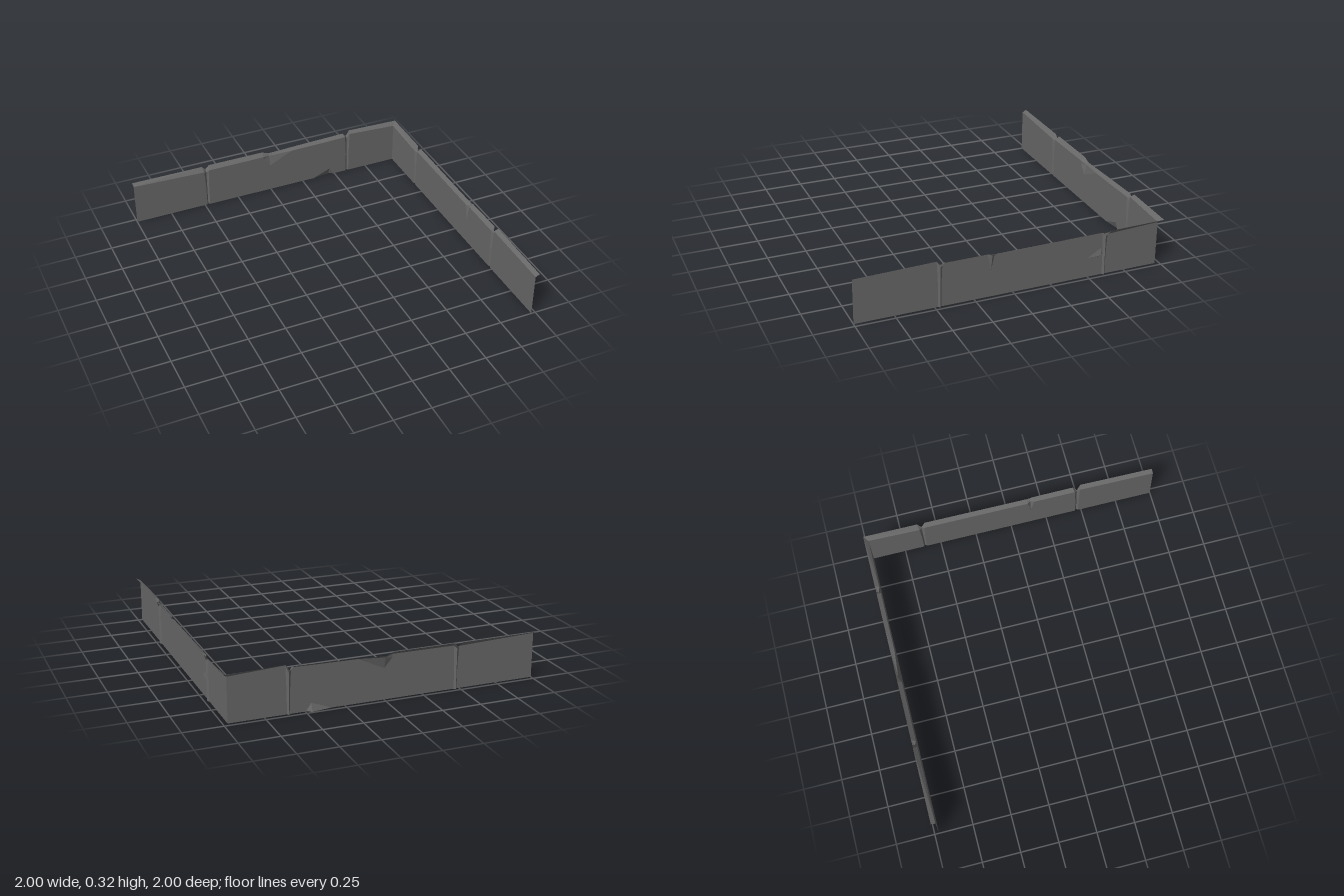
import * as THREE from 'three';

const concrete = new THREE.MeshStandardMaterial({ color: 0x676767, side: THREE.DoubleSide, flatShading: true });
concrete.name = 'dark grey concrete';

const FACE = 0.972;  // distance of the inner wall face from the centre
const FLARE = 0.028; // how far the top lip leans outward

// One column of the sheet: [along, height, outward depth] from the ground to the lip.
function column(s, baseY, topY, o = {}) {
  return [
    [s, 0, o.footD ?? 0],
    [s, o.midY ?? 0.15, o.midD ?? 0],
    [s, baseY, o.baseD ?? 0],
    [o.topS ?? s, topY, o.topD ?? FLARE],
  ];
}

// Joint between two slabs: a narrow groove that opens into a V at the lip.
function joint(s, left, right, lipDepth) {
  const side = (sign, [baseY, topY]) => [
    [s + sign * 0.01, 0, 0],
    [s + sign * 0.011, 0.15, 0],
    [s + sign * 0.018, baseY, 0],
    [s + sign * 0.026, topY, FLARE],
  ];
  const groove = [[s, 0, 0.012], [s, 0.15, 0.012], [s, 0.262, 0.012], [s, 0.278, lipDepth]];
  return [side(-1, left), groove, side(1, right)];
}

// Mitred end where both walls meet.
const corner = column(FACE, 0.286, 0.308, { topS: 1 });

function sheet(columns, place) {
  const pos = [], index = [], rows = columns[0].length;
  for (const col of columns) for (const p of col) pos.push(...place(p));
  for (let i = 0; i < columns.length - 1; i++) {
    for (let j = 0; j < rows - 1; j++) {
      const a = i * rows + j, b = a + rows;
      index.push(a, b, b + 1, a, b + 1, a + 1);
    }
  }
  const g = new THREE.BufferGeometry();
  g.setAttribute('position', new THREE.Float32BufferAttribute(pos, 3));
  g.setIndex(index);
  g.computeVertexNormals();
  return g;
}

// Small three-sided bump on the outer face.
function bump(points, peak, place) {
  const g = new THREE.BufferGeometry();
  g.setAttribute('position', new THREE.Float32BufferAttribute([...points, peak].flatMap(place), 3));
  g.setIndex([0, 1, 3, 1, 2, 3, 2, 0, 3]);
  g.computeVertexNormals();
  return g;
}

export function createModel() {
  const group = new THREE.Group();
  group.name = 'cornerWall';
  const add = (name, geometry) => {
    const mesh = new THREE.Mesh(geometry, concrete);
    mesh.name = name;
    group.add(mesh);
  };
  const onBack = ([s, y, d]) => [s, y, -FACE - d];
  const onRight = ([s, y, d]) => [FACE + d, y, -s];

  // Back wall: worn lip in the middle, chipped foot near the right joint
  add('backWall', sheet([
    column(-1, 0.29, 0.305),
    ...joint(-0.473, [0.273, 0.303], [0.28, 0.305], FLARE),
    column(-0.05, 0.282, 0.305, { midY: 0.26 }),
    column(0, 0.272, 0.286, { midY: 0.2, baseD: 0.015 }),
    column(0.17, 0.28, 0.292, { midY: 0.25 }),
    column(0.335, 0.282, 0.297, { midY: 0.004 }),
    column(0.462, 0.284, 0.3, { midY: 0.05, footD: 0.02 }),
    column(0.492, 0.285, 0.301, { midY: 0.004 }),
    ...joint(0.603, [0.287, 0.303], [0.304, 0.318], FLARE),
    corner,
  ], onBack));

  // Right wall: a sharp crack in the lip
  add('rightWall', sheet([
    column(-1, 0.29, 0.305),
    ...joint(-0.469, [0.302, 0.318], [0.284, 0.304], 0.014),
    column(-0.165, 0.285, 0.302, { midY: 0.27 }),
    column(-0.143, 0.28, 0.295, { midY: 0.18, baseD: 0.016 }),
    column(-0.122, 0.278, 0.293, { midY: 0.26 }),
    ...joint(0.608, [0.284, 0.302], [0.27, 0.303], 0.014),
    corner,
  ], onRight));

  // Shallow bulge near the corner joint
  add('rightWallBulge', bump(
    [[0.495, 0.128, 0], [0.592, 0.128, 0], [0.585, 0.182, 0]], [0.585, 0.136, 0.01], onRight));

  return group;
}
